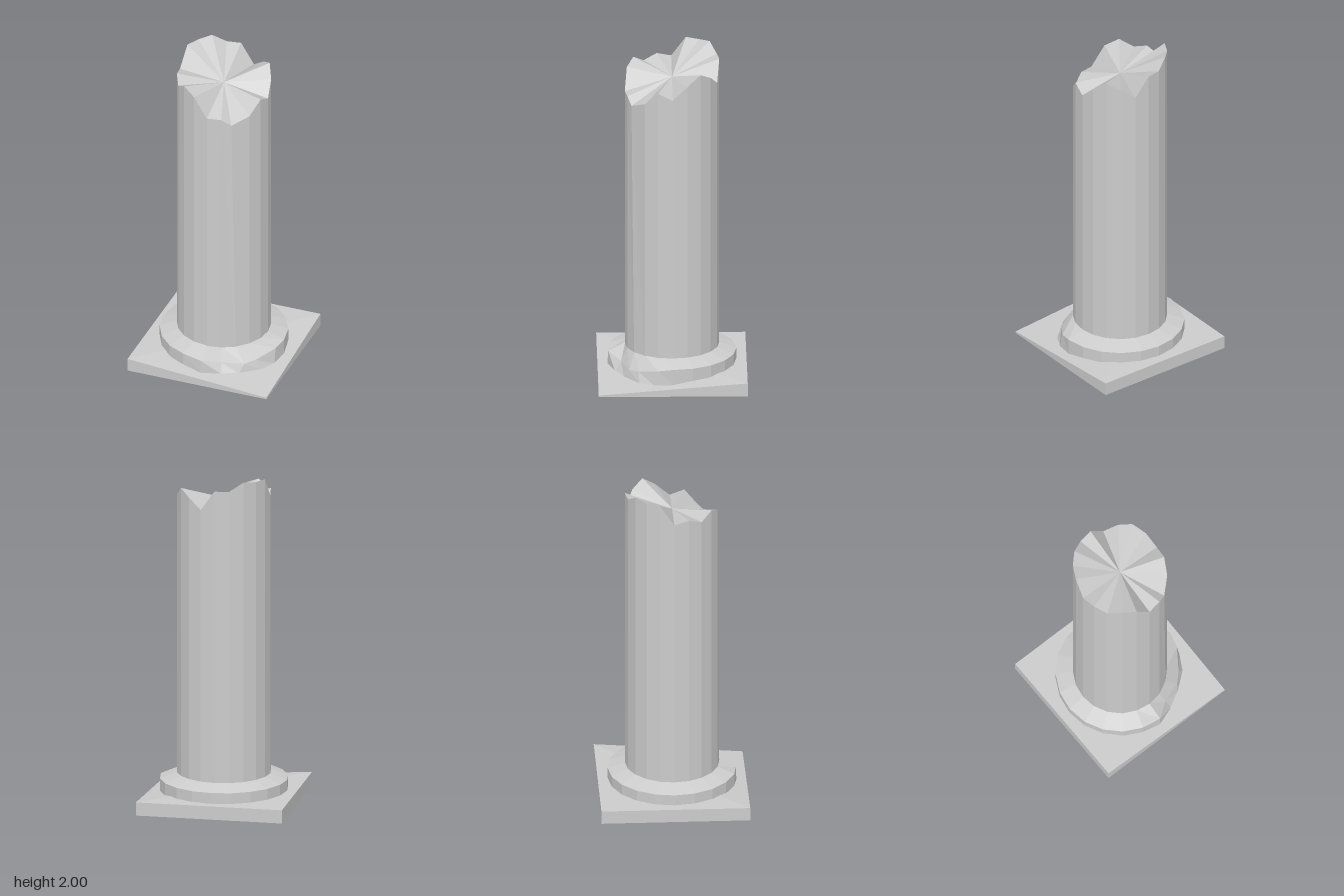
import * as THREE from 'three';

const SIDES = 20;
const material = new THREE.MeshStandardMaterial({ color: 0xcccccc, flatShading: true });

// A loop of points, with each corner's radius, height and position adjustable by rule
function loop(radius, height, moved = {}) {
  return Array.from({ length: SIDES }, (_, k) => {
    if (moved[k]) return moved[k];
    const a = (k / SIDES) * Math.PI * 2;
    const y = Array.isArray(height) ? height[k] : height;
    return [Math.cos(a) * radius, y, Math.sin(a) * radius];
  });
}

// Skin loops from bottom to top, optionally closed by a fan to an apex
function loft(name, loops, apex) {
  const pos = [];
  const tri = (a, b, c) => pos.push(...a, ...b, ...c);
  for (let k = 0; k < SIDES; k++) {
    const n = (k + 1) % SIDES;
    for (let i = 0; i + 1 < loops.length; i++) {
      const lo = loops[i], up = loops[i + 1];
      tri(lo[k], up[k], up[n]);
      tri(lo[k], up[n], lo[n]);
    }
    const last = loops[loops.length - 1];
    if (apex) tri(apex, last[n], last[k]);
  }
  const geometry = new THREE.BufferGeometry();
  geometry.setAttribute('position', new THREE.Float32BufferAttribute(pos, 3));
  geometry.computeVertexNormals();
  const mesh = new THREE.Mesh(geometry, material);
  mesh.name = name;
  return mesh;
}

// Square slab with one worn-down corner
function makePlinth() {
  const box = new THREE.BoxGeometry(0.874, 0.08, 0.874);
  box.translate(0, 0.04, 0);
  const p = box.attributes.position;
  for (let i = 0; i < p.count; i++) {
    if (p.getX(i) > 0 && p.getY(i) > 0.04 && p.getZ(i) > 0) p.setY(i, 0.01);
  }
  const geometry = box.toNonIndexed();
  geometry.computeVertexNormals();
  const mesh = new THREE.Mesh(geometry, material);
  mesh.name = 'plinth';
  return mesh;
}

export function createModel() {
  const group = new THREE.Group();
  group.name = 'brokenColumn';
  group.add(makePlinth());

  // Base ring, chipped at the front left
  const foot = loop(0.378, 0.07, {
    0: [0.378, 0.05, 0],
    1: [0.36, 0.04, 0.11],
    2: [0.315, 0.035, 0.195],
    3: [0.205, 0.035, 0.285],
    4: [0.115, 0.04, 0.335],
    5: [0, 0.05, 0.378],
  });
  const rim = loop(0.378, 0.145, {
    1: [0.358, 0.13, 0.086],
    2: [0.28, 0.1, 0.2],
    3: [0.225, 0.09, 0.255],
    4: [0.1, 0.1, 0.3],
    5: [0, 0.13, 0.375],
  });
  group.add(loft('baseRing', [foot, rim, loop(0.275, 0.18)]));

  // Shaft with a jagged broken top
  const breakHeights = [
    1.79, 1.83, 1.75, 1.71, 1.75, 1.75, 1.87, 1.905, 1.86, 1.89,
    1.87, 1.99, 1.99, 2.0, 1.95, 1.95, 1.83, 1.89, 1.93, 1.87,
  ];
  const brokenEdge = loop(0.277, breakHeights, { 3: [0.14, 1.71, 0.24] });
  group.add(loft('shaft', [loop(0.277, 0.04), brokenEdge], [0, 1.84, 0]));

  return group;
}
